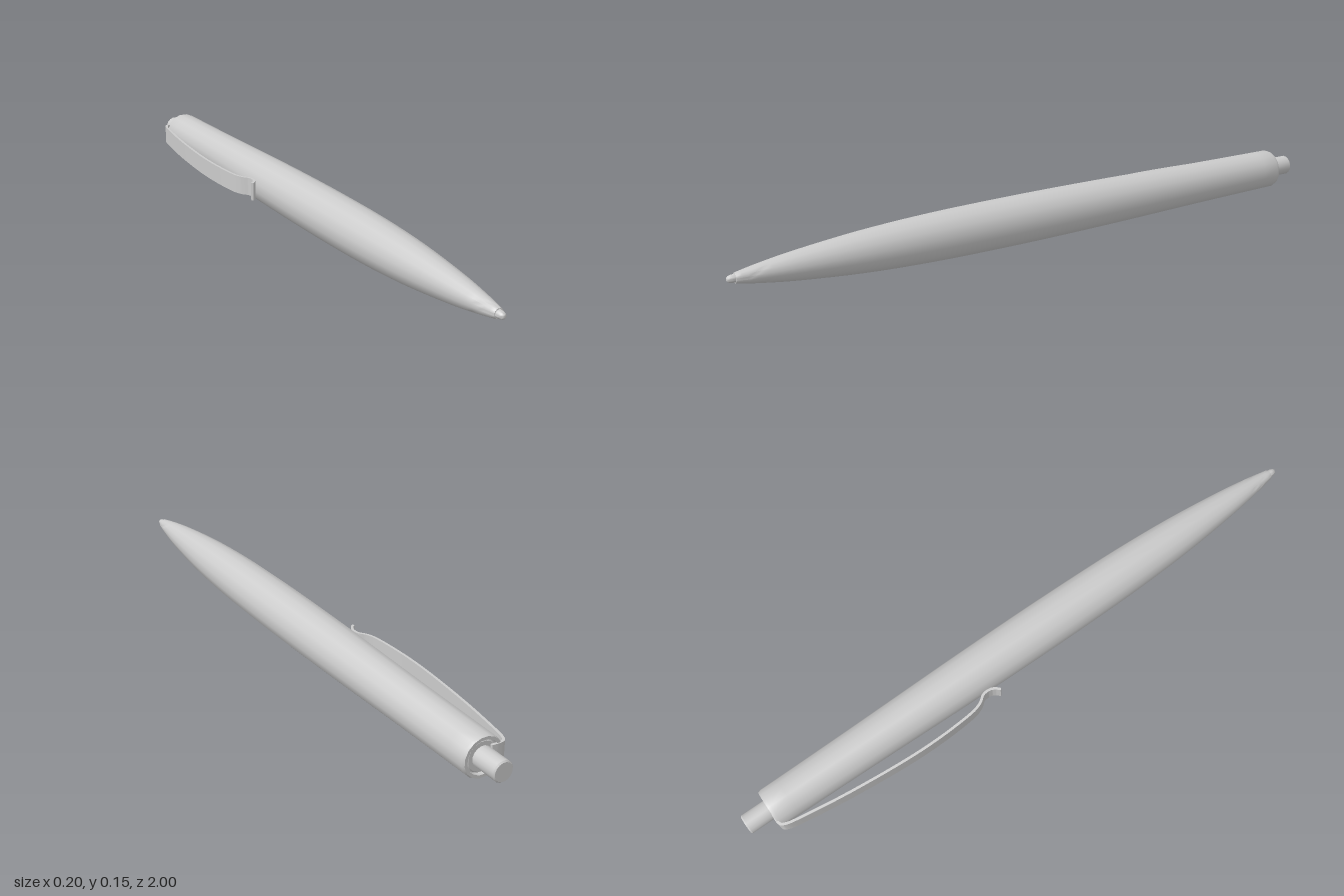
import * as THREE from 'three';
import { toCreasedNormals } from 'three/addons/utils/BufferGeometryUtils.js';

const AXIS_X = 0.024, AXIS_Y = 0.0755, SIDES = 16;
const material = new THREE.MeshStandardMaterial({ color: 0xcccccc, side: THREE.DoubleSide });

const vectors = (pts) => pts.map(([a, b]) => new THREE.Vector2(a, b));

function addMesh(group, name, geometry) {
  const mesh = new THREE.Mesh(toCreasedNormals(geometry, 0.6), material);
  mesh.name = name;
  group.add(mesh);
}

// Turned part along z from [radius, z] pairs, listed from back to front
function turned(group, name, profile) {
  const geo = new THREE.LatheGeometry(vectors(profile), SIDES);
  geo.rotateY(Math.PI / SIDES).rotateX(Math.PI / 2).translate(AXIS_X, AXIS_Y, 0);
  addMesh(group, name, geo);
}

// Flat strip of even thickness following a curve in the x-z plane
function strip(points, thickness, width) {
  const curve = new THREE.SplineCurve(vectors(points));
  const left = [], right = [], n = 56;
  for (let i = 0; i <= n; i++) {
    const p = curve.getPoint(i / n), t = curve.getTangent(i / n);
    const offset = new THREE.Vector2(-t.y, t.x).multiplyScalar(thickness / 2);
    left.push(p.clone().add(offset));
    right.push(p.clone().sub(offset));
  }
  const shape = new THREE.Shape([...left, ...right.reverse()]);
  const geo = new THREE.ExtrudeGeometry(shape, { depth: width, bevelEnabled: false });
  return geo.rotateX(Math.PI / 2).translate(0, AXIS_Y + width / 2, 0);
}

export function createModel() {
  const pen = new THREE.Group();
  pen.name = 'pen';

  // Barrel: smooth swelling body tapering to the nose
  const side = new THREE.SplineCurve(vectors([
    [0.063, -0.91], [0.067, -0.6], [0.0735, -0.25], [0.076, 0], [0.0755, 0.2], [0.072, 0.4],
    [0.062, 0.6], [0.044, 0.79], [0.029, 0.9], [0.016, 0.972],
  ])).getPoints(36).map((p) => [p.x, p.y]);
  turned(pen, 'barrel', [
    [0.03, -0.905], [0.051, -0.905], [0.051, -0.92], [0.06, -0.92],
    ...side, [0.0145, 0.976], [0, 0.976],
  ]);

  // Washer holding the clip inside the rear rim
  turned(pen, 'clipRing', [[0, -0.914], [0.044, -0.914], [0.047, -0.911], [0.047, -0.904]]);

  // Push button
  turned(pen, 'pushButton', [[0, -1], [0.028, -1], [0.0315, -0.996], [0.0315, -0.905]]);

  // Writing tip with rounded end
  turned(pen, 'writingTip', [
    [0.0125, 0.972], [0.0115, 0.985], [0.009, 0.994], [0.005, 0.9985], [0, 1],
  ]);

  // Bowed spring clip with a kicked-out end
  addMesh(pen, 'clip', strip([
    [0.0, -0.918], [-0.033, -0.918], [-0.047, -0.905], [-0.057, -0.86], [-0.077, -0.71],
    [-0.092, -0.53], [-0.095, -0.4], [-0.088, -0.28], [-0.077, -0.235], [-0.06, -0.21],
    [-0.058, -0.185], [-0.066, -0.168], [-0.077, -0.157],
  ], 0.008, 0.058));

  return pen;
}
